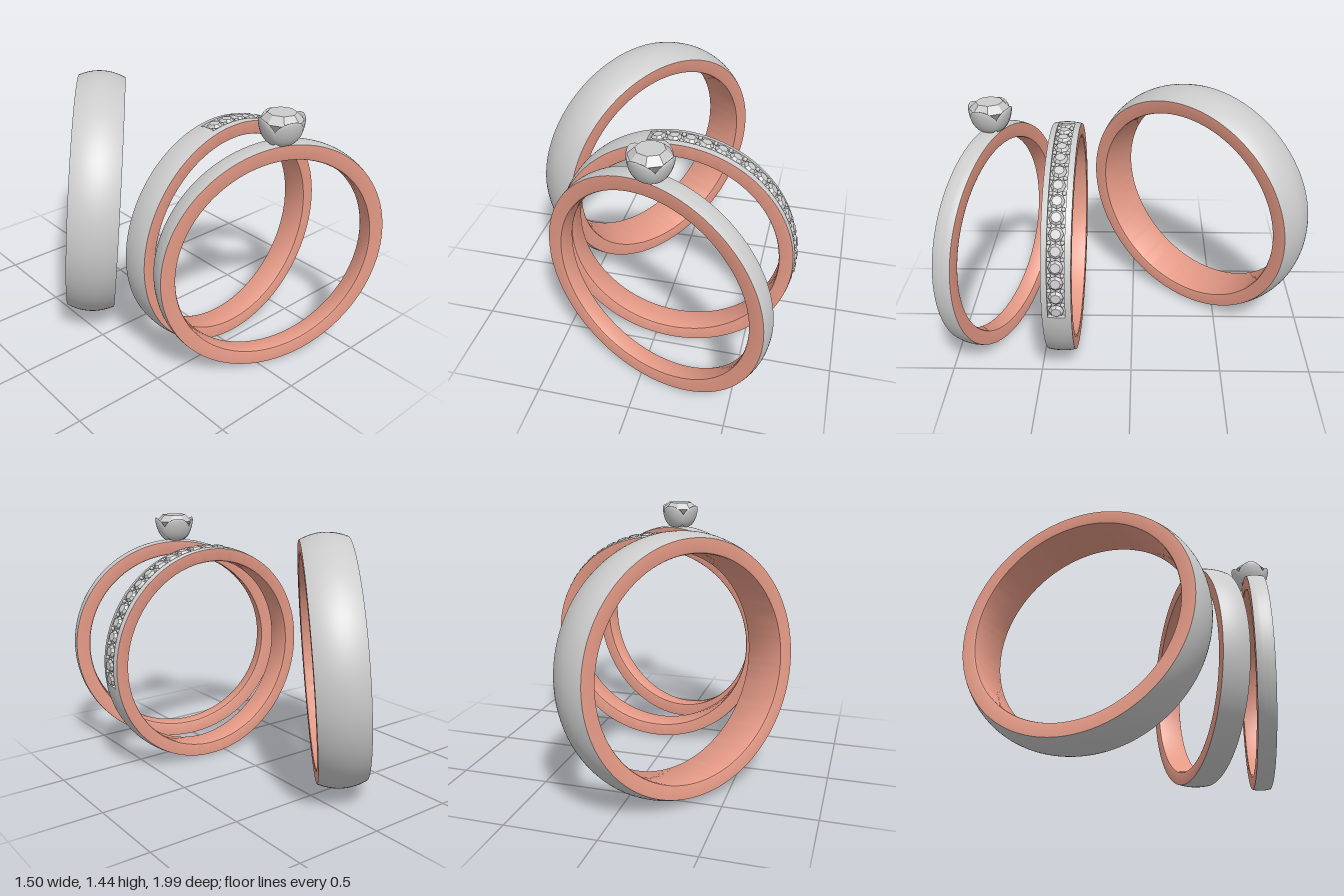
import * as THREE from 'three';
import { toCreasedNormals } from 'three/addons/utils/BufferGeometryUtils.js';

const grey = new THREE.MeshStandardMaterial({ color: 0xcccccc });
const stoneGrey = new THREE.MeshStandardMaterial({ color: 0xcccccc, flatShading: true });
const rose = new THREE.MeshStandardMaterial({ color: 0xe59a86 });
const rad = THREE.MathUtils.degToRad;

function addMesh(parent, name, geometry, material) {
  const mesh = new THREE.Mesh(geometry, material);
  mesh.name = name;
  parent.add(mesh);
  return mesh;
}

// Sweep a [radius, z] profile around the z axis, from angle a0 over an arc (degrees, 0 = +x, 90 = top)
function sweep(profile, a0 = 0, arc = 360) {
  const points = profile.map(([r, z]) => new THREE.Vector2(r, z));
  const g = new THREE.LatheGeometry(points, Math.ceil(arc / 2.5), rad(a0 + 90), rad(arc));
  g.rotateX(Math.PI / 2);
  return toCreasedNormals(g, 0.6);
}

// Domed outer profile between z0 and z1
function dome(R, edge, half, z0, z1, n = 10) {
  return Array.from({ length: n + 1 }, (_, i) => {
    const z = z0 + ((z1 - z0) * i) / n;
    return [R - (R - edge) * (z / half) ** 2, z];
  });
}

// Side faces and inner surface, with softened corners
function lining(edge, inner, half) {
  const c = 0.012;
  const side = [
    [edge, half], [inner + c, half], [inner + c * 0.3, half - c * 0.3], [inner, half - c],
  ];
  return [...side, ...side.map(([r, z]) => [r, -z]).reverse()];
}

function ringGroup(name, position, yaw, lean) {
  const g = new THREE.Group();
  g.name = name;
  g.position.set(...position);
  g.rotation.set(rad(lean), rad(yaw), 0, 'YXZ');
  return g;
}

// Faceted gem, table facing +y, girdle at y = 0
function gem(name, r, crown, depth) {
  const g = new THREE.Group();
  g.name = name;
  const top = new THREE.CylinderGeometry(r * 0.66, r, crown, 8);
  top.translate(0, crown / 2, 0);
  addMesh(g, 'gemCrown', top, stoneGrey);
  const bottom = new THREE.CylinderGeometry(r, r * 0.1, depth, 8);
  bottom.translate(0, -depth / 2, 0);
  addMesh(g, 'gemPavilion', bottom, stoneGrey);
  return g;
}

// Rounded petal that flares outward (+z) as it rises and wraps round the gem
function petalGeometry() {
  const g = new THREE.SphereGeometry(1, 28, 20);
  const p = g.attributes.position;
  for (let i = 0; i < p.count; i++) {
    const u = p.getX(i) * 0.078;
    const v = (p.getY(i) + 1) * 0.07;
    const out = 0.042 + 0.07 * Math.sqrt(v / 0.14) - 4 * u * u + p.getZ(i) * 0.013;
    p.setXYZ(i, u, v, out);
  }
  g.computeVertexNormals();
  return g;
}

function solitaireRing() {
  const R = 0.643, edge = 0.636, half = 0.05;
  const ring = ringGroup('solitaireRing', [0.077, 0.648, 0.738], -19, 0);
  addMesh(ring, 'outerBand', sweep(dome(R, edge, half, -half, half)), grey);
  addMesh(ring, 'innerBand', sweep(lining(edge, 0.555, half)), rose);

  // Setting: four petals around the large gem
  const head = new THREE.Group();
  head.name = 'setting';
  head.position.set(-0.003, R - 0.005, 0.005);
  ring.add(head);
  const petal = petalGeometry();
  for (let i = 0; i < 4; i++) {
    addMesh(head, 'petal', petal, grey).rotation.y = (i * Math.PI) / 2;
  }
  const base = new THREE.CylinderGeometry(0.06, 0.035, 0.04, 24);
  base.translate(0, 0.018, 0);
  addMesh(head, 'settingBase', base, grey);
  const stone = gem('largeGem', 0.108, 0.038, 0.1);
  stone.position.y = 0.119;
  stone.rotation.y = Math.PI / 8;
  head.add(stone);
  return ring;
}

function channelRing() {
  const R = 0.643, edge = 0.634, half = 0.075;
  const ring = ringGroup('channelRing', [0.1, 0.648, 0.368], 0, -1.2);
  const a0 = -9, arc = 112, slot = 0.044, floor = 0.62;

  // Plain part, then the part with a cut channel
  addMesh(ring, 'outerBand', sweep(dome(R, edge, half, -half, half), a0 + arc, 360 - arc), grey);
  const channel = [
    ...dome(R, edge, half, -half, -slot, 4), [floor, -slot],
    [floor, slot], ...dome(R, edge, half, slot, half, 4),
  ];
  addMesh(ring, 'channelBand', sweep(channel, a0, arc), grey);
  addMesh(ring, 'innerBand', sweep(lining(edge, 0.56, half), 0, 360), rose);

  // Place an object on the rim at an angle, its y axis pointing outward
  const onRim = (object, angle, r, z) => {
    object.position.set(r * Math.cos(rad(angle)), r * Math.sin(rad(angle)), z);
    object.rotation.z = rad(angle - 90);
    ring.add(object);
  };

  // Walls closing the channel ends
  for (const a of [a0, a0 + arc]) {
    const wall = addMesh(ring, 'channelEnd', new THREE.BoxGeometry(0.006, 0.024, slot * 2), grey);
    onRim(wall, a, 0.63, 0);
  }

  // Row of small gems with beads in the corners between them
  const count = 15, step = 7.4, first = -5.2;
  const bead = new THREE.SphereGeometry(0.011, 10, 8);
  for (let i = 0; i < count; i++) {
    onRim(gem('smallGem', 0.039, 0.014, 0.02), first + i * step, 0.634, 0);
    if (i === count - 1) continue;
    for (const side of [-1, 1]) {
      onRim(addMesh(ring, 'bead', bead, grey), first + (i + 0.5) * step, 0.636, side * 0.033);
    }
  }
  return ring;
}

function wideRing() {
  const R = 0.703, edge = 0.672, half = 0.133;
  const ring = ringGroup('wideRing', [-0.238, 0.708, -0.378], 52.6, 4.5);
  addMesh(ring, 'outerBand', sweep(dome(R, edge, half, -half, half, 16)), grey);
  addMesh(ring, 'innerBand', sweep(lining(edge, 0.593, half)), rose);
  return ring;
}

export function createModel() {
  const model = new THREE.Group();
  model.name = 'ringSet';
  model.add(solitaireRing(), channelRing(), wideRing());
  return model;
}
